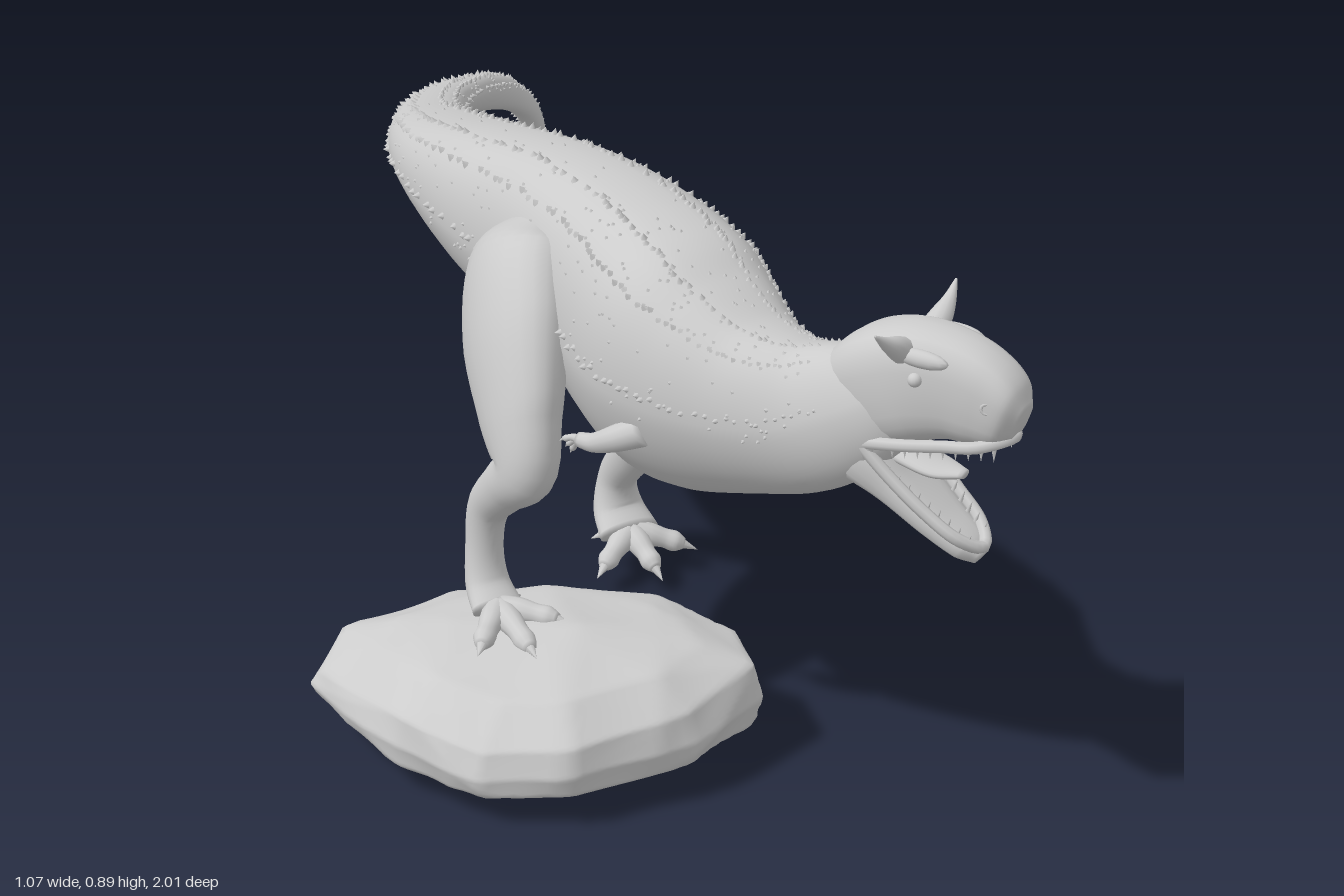
import * as THREE from 'three';
import { mergeGeometries, mergeVertices } from 'three/addons/utils/BufferGeometryUtils.js';
import { ConvexGeometry } from 'three/addons/geometries/ConvexGeometry.js';

const V = (x, y, z) => new THREE.Vector3(x, y, z);
const grey = new THREE.MeshStandardMaterial({ color: 0xcccccc });

function add(parent, name, geometry) {
  const mesh = new THREE.Mesh(geometry, grey);
  mesh.name = name;
  parent.add(mesh);
}

let seed = 7;
const rnd = () => (seed = (seed * 16807) % 2147483647) / 2147483647;

// Cross-sections: [across, up] for an angle
const pow = (v, p) => Math.sign(v) * Math.abs(v) ** p;
const round = a => [Math.cos(a), Math.sin(a)];
const boxy = a => [pow(Math.cos(a), 0.7), pow(Math.sin(a), 0.75)];
const torso = a => Math.sin(a) > 0
  ? [pow(Math.cos(a), 0.76), pow(Math.sin(a), 0.84)]
  : [Math.cos(a) * (1 + 0.15 * Math.sin(a)), Math.sin(a)];

// Surface point function through stations [x, y, z, half width, half height]
function skin(stations, section) {
  const path = new THREE.CatmullRomCurve3(stations.map(s => V(s[0], s[1], s[2])));
  const size = new THREE.CatmullRomCurve3(stations.map(s => V(s[3], s[4], 0)), false, 'catmullrom', 0.5);
  return (u, a) => {
    const t = path.getTangent(u), r = size.getPoint(u), [c, s] = section(a);
    const side = V(1, 0, 0).addScaledVector(t, -t.x).normalize();
    const up = t.clone().cross(side);
    return path.getPoint(u).addScaledVector(side, c * r.x).addScaledVector(up, s * r.y);
  };
}

// Closed smooth tube over such a surface
function loft(stations, section = round, rows = stations.length * 5, sides = 24) {
  const at = skin(stations, section), pos = [], index = [];
  for (let i = 0; i <= rows; i++)
    for (let j = 0; j < sides; j++) pos.push(...at(i / rows, (j / sides) * Math.PI * 2).toArray());
  for (let i = 0; i < rows; i++)
    for (let j = 0; j < sides; j++) {
      const k = (j + 1) % sides, a = i * sides + j, b = i * sides + k;
      index.push(a, b, b + sides, a, b + sides, a + sides);
    }
  const first = stations[0], last = stations[stations.length - 1], n = pos.length / 3;
  pos.push(...first.slice(0, 3), ...last.slice(0, 3));
  for (let j = 0; j < sides; j++) {
    const k = (j + 1) % sides, e = rows * sides;
    index.push(n, k, j, n + 1, e + j, e + k);
  }
  const g = new THREE.BufferGeometry();
  g.setAttribute('position', new THREE.Float32BufferAttribute(pos, 3));
  g.setIndex(index);
  g.computeVertexNormals();
  return g;
}

// Cone standing on a point and aimed along a direction
function spike(p, dir, r, h, sides = 5) {
  const g = new THREE.ConeGeometry(r, h, sides).translate(0, h * 0.4, 0);
  g.applyQuaternion(new THREE.Quaternion().setFromUnitVectors(V(0, 1, 0), dir.clone().normalize()));
  return g.translate(p.x, p.y, p.z);
}

const BODY = [
  [0.523, 0.385, -0.972, 0.008, 0.01], [0.517, 0.44, -0.978, 0.018, 0.02], [0.49, 0.51, -0.965, 0.023, 0.026],
  [0.43, 0.565, -0.935, 0.027, 0.031], [0.34, 0.605, -0.88, 0.034, 0.034], [0.215, 0.638, -0.78, 0.047, 0.037],
  [0.095, 0.67, -0.6, 0.071, 0.053], [0.035, 0.695, -0.4, 0.105, 0.083], [0.008, 0.7, -0.2, 0.122, 0.13],
  [0.012, 0.695, 0, 0.135, 0.172], [0.012, 0.692, 0.2, 0.15, 0.19], [0.005, 0.675, 0.31, 0.16, 0.208],
  [0.003, 0.655, 0.41, 0.163, 0.208], [0.012, 0.645, 0.5, 0.145, 0.18], [0.032, 0.645, 0.6, 0.113, 0.14],
  [0.062, 0.66, 0.69, 0.088, 0.117], [0.097, 0.695, 0.76, 0.074, 0.1], [0.135, 0.735, 0.82, 0.05, 0.07]];

function buildBody(model) {
  add(model, 'body', loft(BODY, torso, 120, 40));
  const at = skin(BODY, torso), scales = [];
  const put = (u, deg, r, h) => {
    const a = deg * Math.PI / 180, p = at(u, a);
    scales.push(spike(p, p.clone().sub(at(u, a + Math.PI)), r, h));
  };
  // Rows of bony studs along back and flanks
  for (const deg of [5, 48, 75, 105, 132, 175])
    for (let u = 0.06; u < 0.93; u += 0.009) {
      const s = 0.3 + 0.7 * Math.sin(u * Math.PI);
      put(u + rnd() * 0.005, deg + rnd() * 3, 0.007 * s, (0.007 + rnd() * 0.006) * s);
    }
  // Scattered small scales
  for (let i = 0; i < 600; i++) put(0.15 + rnd() * 0.77, -10 + rnd() * 200, 0.0035, 0.0045);
  add(model, 'backScales', mergeGeometries(scales));
}

function buildHead(model) {
  const head = new THREE.Group();
  head.name = 'head';
  head.position.set(0.117, 0, 0.735);
  head.rotation.set(0, 0.47, 0.02);
  model.add(head);
  add(head, 'skull', loft([[0, 0.705, -0.05, 0.035, 0.045], [0, 0.72, 0, 0.06, 0.072], [0, 0.742, 0.055, 0.071, 0.09],
    [0, 0.762, 0.11, 0.068, 0.091], [0, 0.767, 0.17, 0.058, 0.083], [0, 0.757, 0.22, 0.052, 0.073],
    [0, 0.742, 0.26, 0.044, 0.053], [0, 0.735, 0.28, 0.022, 0.028]], boxy));
  add(head, 'lowerJaw', loft([[0, 0.66, -0.02, 0.06, 0.05], [0, 0.635, 0.03, 0.074, 0.05], [0, 0.59, 0.09, 0.062, 0.03],
    [0, 0.545, 0.15, 0.05, 0.022], [0, 0.512, 0.2, 0.036, 0.018], [0, 0.497, 0.222, 0.016, 0.01]], boxy));
  add(head, 'tongue', loft([[0, 0.65, 0.04, 0.03, 0.015], [0, 0.635, 0.1, 0.035, 0.014],
    [0, 0.625, 0.15, 0.032, 0.011], [0, 0.625, 0.19, 0.012, 0.006]]));
  // Raised jaw rim and upper lip
  const rim = (name, half, r) => {
    const pts = [...half.map(p => V(...p)), ...half.slice(0, -1).reverse().map(p => V(-p[0], p[1], p[2]))];
    add(head, name, new THREE.TubeGeometry(new THREE.CatmullRomCurve3(pts), 48, r, 8));
  };
  rim('lowerLip', [[0.068, 0.672, 0.045], [0.06, 0.625, 0.09], [0.05, 0.573, 0.15], [0.035, 0.535, 0.2], [0, 0.515, 0.225]], 0.01);
  rim('upperLip', [[0.066, 0.668, 0.05], [0.063, 0.68, 0.12], [0.053, 0.69, 0.18], [0.044, 0.698, 0.23], [0, 0.708, 0.268]], 0.01);
  const teeth = [];
  for (const s of [-1, 1]) {
    for (let i = 0; i < 9; i++) {
      const f = i / 8;
      teeth.push(spike(V(s * (0.06 - f * 0.033), 0.676 + f * 0.02, 0.1 + f * 0.15), V(0, -1, 0), 0.005, 0.026));
      teeth.push(spike(V(s * (0.058 - f * 0.034), 0.62 - f * 0.095, 0.09 + f * 0.12), V(0, 1, 0.4), 0.004, 0.02));
    }
    // Brow horn, eye, nostril and cheek skin on each side
    add(head, 'horn', loft([[s * 0.042, 0.82, 0.105, 0.022, 0.022], [s * 0.07, 0.838, 0.106, 0.017, 0.017],
      [s * 0.095, 0.853, 0.104, 0.01, 0.01], [s * 0.12, 0.873, 0.1, 0.002, 0.002]], round, 16, 12));
    add(head, 'eye', new THREE.SphereGeometry(0.011, 14, 10).translate(s * 0.062, 0.79, 0.135));
    add(head, 'brow', new THREE.SphereGeometry(1, 14, 10).scale(0.013, 0.014, 0.045).translate(s * 0.055, 0.822, 0.14));
    add(head, 'nostril', new THREE.TorusGeometry(0.008, 0.003, 6, 12).rotateY(s * 1.2).translate(s * 0.046, 0.765, 0.245));
    add(head, 'cheek', new THREE.SphereGeometry(1, 14, 10).scale(0.014, 0.045, 0.04).translate(s * 0.064, 0.675, 0.035));
  }
  add(head, 'teeth', mergeGeometries(teeth));
}

// Toe with knuckles and claw from foot to tip
function toe(parent, from, to, r) {
  const a = V(...from), b = V(...to), st = [[0, 1.2, 0], [0.35, 1.05, 0.004], [0.6, 0.85, 0.003], [0.8, 0.9, 0.001], [0.95, 0.5, 0]];
  add(parent, 'toe', loft(st.map(([f, k, y]) => {
    const p = a.clone().lerp(b, f);
    return [p.x, p.y + y, p.z, r * k, r * k];
  }), round, 16, 12));
  add(parent, 'claw', spike(a.clone().lerp(b, 0.9), b.clone().sub(a).add(V(0, -0.02, 0)), r * 0.55, r * 1.8, 8));
}

function buildLeg(model, name, stations, toes) {
  const leg = new THREE.Group();
  leg.name = name;
  model.add(leg);
  add(leg, 'legMuscle', loft(stations));
  const end = stations[stations.length - 1].slice(0, 3);
  toes.forEach((t, i) => toe(leg, end, t, i < 3 ? 0.02 : 0.012));
}

function buildArm(model, s) {
  const arm = new THREE.Group();
  arm.name = s > 0 ? 'leftArm' : 'rightArm';
  model.add(arm);
  add(arm, 'forearm', loft([[s * 0.11, 0.595, 0.495, 0.026, 0.026], [s * 0.143, 0.573, 0.46, 0.021, 0.021],
    [s * 0.158, 0.555, 0.425, 0.016, 0.016], [s * 0.168, 0.55, 0.395, 0.012, 0.012]], round, 16, 12));
  for (const k of [-1, 0, 1])
    toe(arm, [s * 0.168, 0.55, 0.4], [s * (0.178 + k * 0.008), 0.535 + k * 0.012, 0.372], 0.006);
}

function buildRock(model) {
  // Outline corners [x, z, low, high]
  const outline = [[-0.54, 0.16, 0.08, 0.135], [-0.46, 0.11, 0.05, 0.175], [-0.25, 0.12, 0.06, 0.19], [-0.11, 0.18, 0.06, 0.19],
    [0.035, 0.31, 0.05, 0.195], [0.115, 0.44, 0.08, 0.17], [0.075, 0.56, 0.05, 0.17], [-0.08, 0.622, 0.05, 0.15],
    [-0.3, 0.617, 0.05, 0.14], [-0.425, 0.535, 0.04, 0.125], [-0.495, 0.38, 0.04, 0.135]];
  const c = V(-0.2, 0.11, 0.37), pts = [];
  for (const [x, z, lo, hi] of outline) {
    const ring = (f, y) => pts.push(V(c.x + (x - c.x) * f, y, c.z + (z - c.z) * f));
    ring(0.96, lo + 0.01);
    ring(1, (lo + hi) / 2);
    ring(0.95, hi);
    ring(0.7, hi * 0.5 + 0.112 + rnd() * 0.012);
    ring(0.7, 0.02 + rnd() * 0.012);
  }
  pts.push(V(-0.17, 0.228, 0.4), V(0, 0.21, 0.42), V(-0.01, 0, 0.42), V(-0.4, 0.01, 0.4));
  // Facet planes of the hull, as seen from the rock's centre
  const hull = new ConvexGeometry(pts).attributes.position, planes = [];
  for (let i = 0; i < hull.count; i += 3) {
    const [p, q, r] = [0, 1, 2].map(k => V(0, 0, 0).fromBufferAttribute(hull, i + k).sub(c));
    planes.push(new THREE.Plane().setFromCoplanarPoints(p, q, r));
  }
  // Fine ball pushed out to the facets, worn by shallow dents
  const g = new THREE.IcosahedronGeometry(1, 24);
  g.deleteAttribute('normal');
  g.deleteAttribute('uv');
  const rock = mergeVertices(g), pos = rock.attributes.position, v = V(0, 0, 0);
  for (let i = 0; i < pos.count; i++) {
    v.fromBufferAttribute(pos, i).multiply(V(0.32, 0.1, 0.25)).normalize();
    let reach = Infinity;
    for (const { normal, constant } of planes) {
      const d = normal.dot(v);
      if (d > 1e-6) reach = Math.min(reach, -constant / d);
    }
    v.multiplyScalar(reach);
    const dent = Math.abs(Math.sin(v.x * 17 + v.z * 9) * Math.sin(v.z * 19 - v.x * 6 + v.y * 25));
    v.multiplyScalar(1 - 0.03 * dent).add(c);
    pos.setXYZ(i, v.x, v.y, v.z);
  }
  rock.computeVertexNormals();
  add(model, 'rock', rock);
}

export function createModel() {
  const model = new THREE.Group();
  model.name = 'hornedDinosaurOnRock';
  buildBody(model);
  buildHead(model);
  buildLeg(model, 'leftLeg', [[0.09, 0.81, 0.1, 0.02, 0.05], [0.11, 0.75, 0.1, 0.07, 0.11], [0.145, 0.63, 0.105, 0.085, 0.118],
    [0.175, 0.51, 0.115, 0.072, 0.09], [0.198, 0.43, 0.1, 0.052, 0.064], [0.205, 0.375, 0.045, 0.046, 0.054],
    [0.208, 0.305, -0.025, 0.04, 0.046], [0.212, 0.235, -0.09, 0.036, 0.04], [0.212, 0.165, -0.143, 0.034, 0.034],
    [0.212, 0.11, -0.14, 0.046, 0.032], [0.212, 0.077, -0.1, 0.056, 0.024]],
  [[0.13, 0.05, -0.05], [0.215, 0.043, -0.01], [0.3, 0.052, -0.055], [0.165, 0.07, -0.13]]);
  buildLeg(model, 'rightLeg', [[-0.07, 0.79, 0.08, 0.02, 0.05], [-0.11, 0.735, 0.11, 0.078, 0.12], [-0.165, 0.65, 0.19, 0.078, 0.13],
    [-0.205, 0.55, 0.275, 0.06, 0.095], [-0.22, 0.48, 0.315, 0.049, 0.058], [-0.231, 0.435, 0.275, 0.04, 0.043],
    [-0.238, 0.38, 0.228, 0.033, 0.036], [-0.242, 0.31, 0.22, 0.031, 0.029], [-0.245, 0.25, 0.235, 0.037, 0.028],
    [-0.247, 0.22, 0.275, 0.044, 0.02]],
  [[-0.325, 0.212, 0.36], [-0.26, 0.212, 0.41], [-0.18, 0.222, 0.36], [-0.2, 0.222, 0.25]]);
  for (const s of [-1, 1]) buildArm(model, s);
  buildRock(model);
  return model;
}
